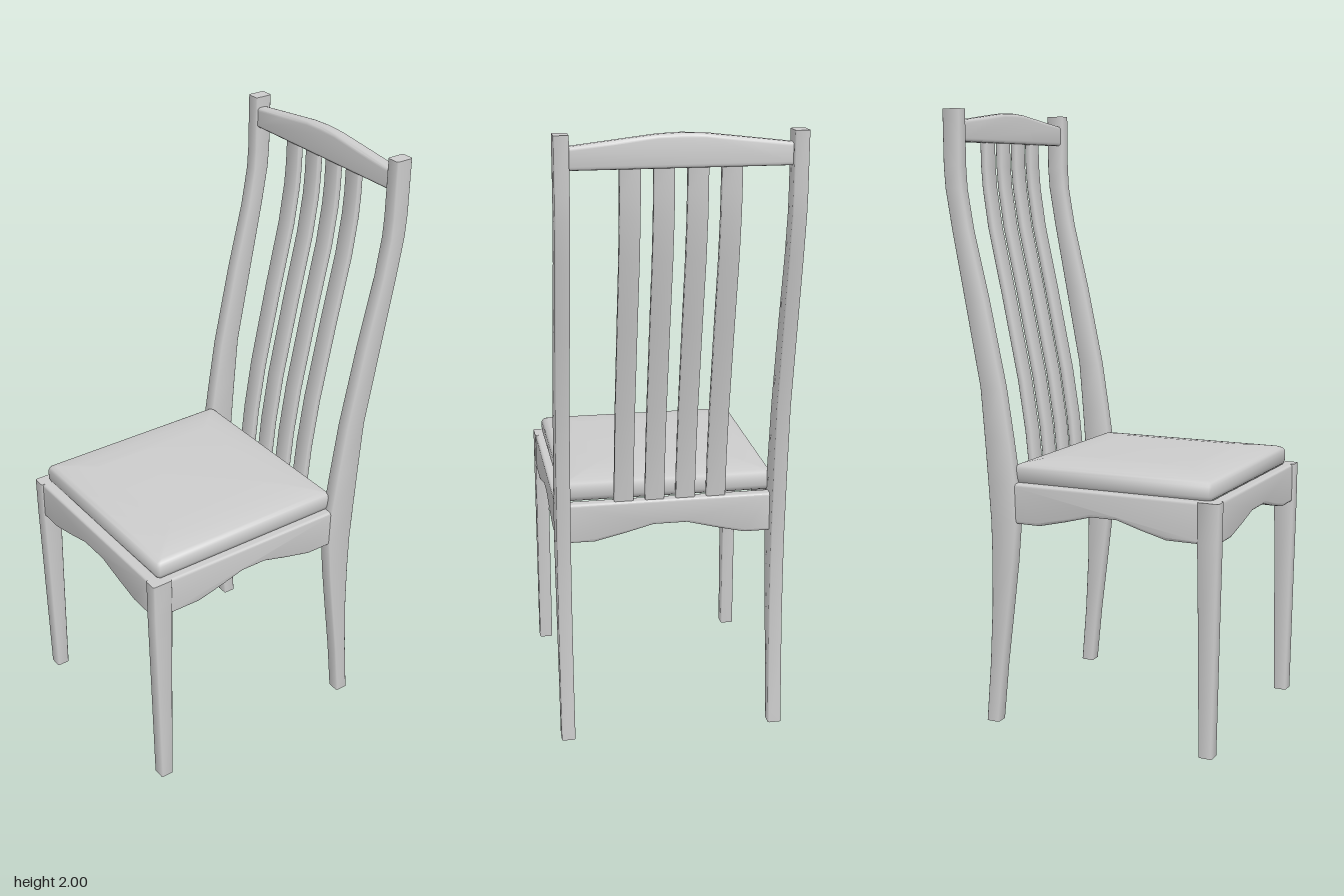
import * as THREE from 'three';
import { toCreasedNormals } from 'three/addons/utils/BufferGeometryUtils.js';

const material = new THREE.MeshStandardMaterial({ color: 0xcccccc });

function addMesh(parent, name, geometry, crease = 1.0) {
  const mesh = new THREE.Mesh(toCreasedNormals(geometry, crease), material);
  mesh.name = name;
  parent.add(mesh);
  return mesh;
}

// Stacks chamfered rectangles [y, x0, x1, z0, z1] into a closed solid.
function loft(sections, chamfer) {
  const positions = [], index = [], n = 8, c = chamfer;
  for (const [y, x0, x1, z0, z1] of sections) {
    const ring = [
      [x0 + c, z1], [x1 - c, z1], [x1, z1 - c], [x1, z0 + c],
      [x1 - c, z0], [x0 + c, z0], [x0, z0 + c], [x0, z1 - c],
    ];
    for (const [x, z] of ring) positions.push(x, y, z);
  }
  for (let s = 0; s < sections.length - 1; s++) {
    for (let i = 0; i < n; i++) {
      const a = s * n + i, b = s * n + (i + 1) % n;
      index.push(a, b, b + n, a, b + n, a + n);
    }
  }
  const top = (sections.length - 1) * n;
  for (let i = 1; i < n - 1; i++) {
    index.push(0, i + 1, i, top, top + i, top + i + 1);
  }
  const geometry = new THREE.BufferGeometry();
  geometry.setAttribute('position', new THREE.Float32BufferAttribute(positions, 3));
  geometry.setIndex(index);
  return geometry;
}

// Extrudes an outline to a total thickness, softening its edges and centring it on z.
function board(points, thickness, bevel) {
  const shape = new THREE.Shape(points.map(([x, y]) => new THREE.Vector2(x, y)));
  const geometry = new THREE.ExtrudeGeometry(shape, {
    depth: thickness - 2 * bevel, bevelThickness: bevel,
    bevelSize: bevel, bevelOffset: -bevel, bevelSegments: 3,
  });
  return geometry.translate(0, 0, bevel - thickness / 2);
}

// Apron outline: straight top, shallow arch cut into the bottom edge.
function apron(x0, x1, archStart, flatStart, flatEnd, archEnd) {
  return board([
    [x0, 0.68], [archStart, 0.68], [(archStart + flatStart) / 2, 0.702], [flatStart, 0.727],
    [flatEnd, 0.727], [(archEnd + flatEnd) / 2, 0.702], [archEnd, 0.68], [x1, 0.68],
    [x1, 0.812], [x0, 0.812],
  ], 0.04, 0.01);
}

export function createModel() {
  const chair = new THREE.Group();
  chair.name = 'chair';

  // Curved back posts: [y, back z, front z]
  const postProfile = [
    [0, -0.345, -0.3], [0.2, -0.329, -0.28], [0.4, -0.319, -0.255], [0.55, -0.317, -0.237],
    [0.68, -0.319, -0.226], [0.81, -0.328, -0.23], [0.95, -0.338, -0.25], [1.12, -0.352, -0.276],
    [1.4, -0.405, -0.335], [1.62, -0.447, -0.388], [1.75, -0.469, -0.41],
    [1.82, -0.474, -0.414], [2, -0.475, -0.415],
  ];

  for (const [side, label] of [[1, 'left'], [-1, 'right']]) {
    const x0 = side > 0 ? 0.327 : -0.372, x1 = x0 + 0.045;
    addMesh(chair, `${label} back post`,
      loft(postProfile.map(([y, back, front]) => [y, x0, x1, back, front]), 0.004));

    // Tapered front leg
    addMesh(chair, `${label} front leg`, loft([
      [0, x0, x1, 0.415, 0.46], [0.4, x0, x1, 0.41, 0.468],
      [0.68, x0, x1, 0.405, 0.474], [0.812, x0, x1, 0.405, 0.475],
    ], 0.004));

    // Side apron, its outline running along z
    const rail = addMesh(chair, `${label} apron`,
      apron(-0.42, 0.25, -0.3, -0.13, -0.04, 0.145), 0.7);
    rail.rotation.y = Math.PI / 2;
    rail.position.x = side * 0.349;
  }

  // Front and back aprons
  for (const [name, z] of [['front apron', 0.45], ['back apron', -0.27]]) {
    addMesh(chair, name, apron(-0.335, 0.335, -0.245, -0.055, 0.055, 0.245), 0.7).position.z = z;
  }

  // Upholstered seat: [y, inset from the widest outline]
  const cushion = [
    [0.806, 0.014], [0.813, 0.004], [0.825, 0], [0.856, 0],
    [0.867, 0.006], [0.873, 0.02], [0.882, 0.07], [0.888, 0.125],
  ].map(([y, d]) => [y, d - 0.345, 0.345 - d, d - 0.25, 0.44 - d]);
  addMesh(chair, 'seat', loft(cushion, 0.008));

  // Crest rail with a gently arched top
  addMesh(chair, 'crest rail', board([
    [-0.335, 1.897], [0.335, 1.897], [0.335, 1.964], [0.2, 1.98], [0.07, 1.995], [0, 1.998],
    [-0.07, 1.995], [-0.2, 1.98], [-0.335, 1.964],
  ], 0.042, 0.012), 0.7).position.z = -0.441;

  // Four back slats following the curve of the posts: [y, z]
  const slatPath = [
    [0.79, -0.268], [0.95, -0.284], [1.12, -0.31], [1.4, -0.367],
    [1.62, -0.415], [1.75, -0.434], [1.82, -0.439], [1.92, -0.441],
  ];
  for (let i = 0; i < 4; i++) {
    const x = -0.15 + i * 0.1;
    addMesh(chair, `back slat ${i + 1}`,
      loft(slatPath.map(([y, z]) => [y, x - 0.031, x + 0.031, z - 0.011, z + 0.011]), 0.003));
  }

  return chair;
}
